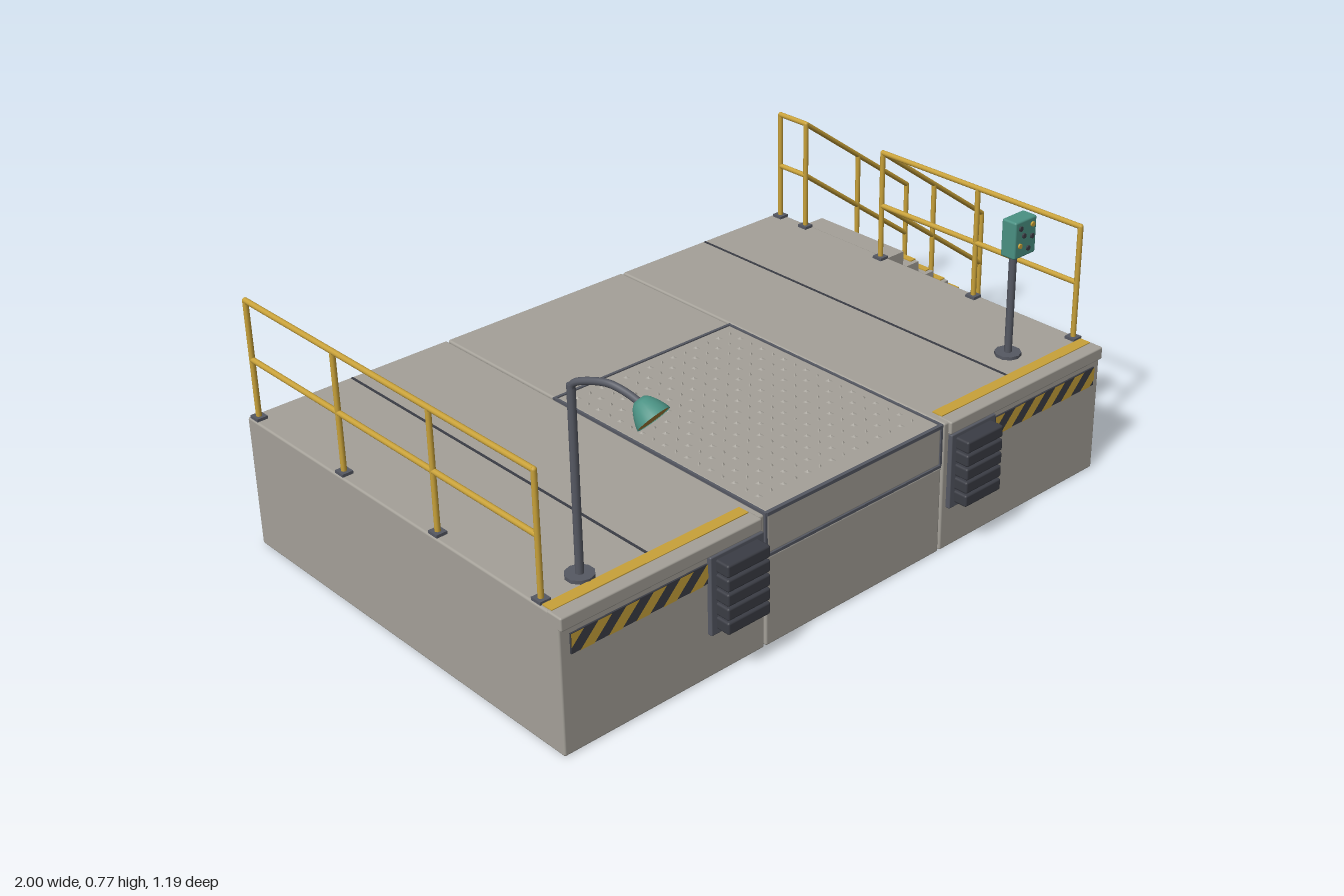
import * as THREE from 'three';
import { RoundedBoxGeometry } from 'three/addons/geometries/RoundedBoxGeometry.js';
import { mergeGeometries } from 'three/addons/utils/BufferGeometryUtils.js';

const mat = (name, color, side = THREE.FrontSide) => {
  const m = new THREE.MeshStandardMaterial({ color, side });
  m.name = name;
  return m;
};

export function createModel() {
  const concrete = mat('concrete', 0xa5a199);
  const yellow = mat('safetyYellow', 0xc9a23a);
  const steel = mat('darkSteel', 0x565963);
  const rubber = mat('rubber', 0x3b3d45);
  const teal = mat('tealPaint', 0x4a9183, THREE.DoubleSide);
  const amber = mat('lampGlass', 0xb58a3c);
  const model = new THREE.Group();
  model.name = 'loadingDock';

  const group = (name) => {
    const g = new THREE.Group();
    g.name = name;
    model.add(g);
    return g;
  };
  const add = (parent, name, geo, m) => {
    const mesh = new THREE.Mesh(geo, m);
    mesh.name = name;
    parent.add(mesh);
    return mesh;
  };
  // Box given by its limits on each axis, optionally with softened edges
  const box = (parent, name, [x0, x1], [y0, y1], [z0, z1], m, r = 0) => {
    const s = [x1 - x0, y1 - y0, z1 - z0];
    const geo = r ? new RoundedBoxGeometry(...s, 2, r) : new THREE.BoxGeometry(...s);
    const mesh = add(parent, name, geo, m);
    mesh.position.set((x0 + x1) / 2, (y0 + y1) / 2, (z0 + z1) / 2);
    return mesh;
  };
  // Round bar between two points
  const rod = (parent, name, a, b, r, m) => {
    const p = new THREE.Vector3(...a), q = new THREE.Vector3(...b);
    const d = q.clone().sub(p);
    const mesh = add(parent, name, new THREE.CylinderGeometry(r, r, d.length(), 10), m);
    mesh.position.copy(p).add(q).multiplyScalar(0.5);
    mesh.quaternion.setFromUnitVectors(new THREE.Vector3(0, 1, 0), d.normalize());
    return mesh;
  };

  // Platform blocks around a dark core that shows in the seams
  const H = 0.32, L = -1, R = 0.595, A = -0.47, B = 0.06, BACK = -0.59, FRONT = 0.475;
  const platform = group('platform');
  box(platform, 'seamCore', [L + 0.02, R - 0.02], [0.008, H - 0.008], [BACK + 0.02, FRONT - 0.02], steel);
  box(platform, 'rightBlock', [L, A - 0.002], [0, H], [BACK, FRONT], concrete, 0.005);
  box(platform, 'leftBlock', [B + 0.002, R], [0, H], [BACK, FRONT], concrete, 0.005);
  box(platform, 'backBlock', [A + 0.002, B - 0.002], [0, H], [BACK, -0.202], concrete, 0.005);
  box(platform, 'pitBlock', [A + 0.002, B - 0.002], [0, 0.216], [-0.198, FRONT], concrete, 0.005);
  for (const [x0, x1] of [[L, A - 0.016], [B + 0.016, R]]) {
    box(platform, 'edgeLip', [x0, x1], [0.29, H + 0.001], [0.44, 0.483], concrete, 0.004);
    box(platform, 'edgeStripe', [x0 + 0.006, x1 - 0.006], [H, H + 0.003], [0.422, 0.45], yellow);
  }
  for (const x of [-0.735, 0.33])
    box(platform, 'deckJoint', [x - 0.003, x + 0.003], [H - 0.001, H + 0.0015], [BACK + 0.005, 0.42], rubber);

  // Leveler plate with dark trim and raised tread pattern
  const leveler = group('leveler');
  box(leveler, 'levelerPlate', [A + 0.007, B - 0.007], [0.222, H], [-0.194, 0.474], concrete, 0.004);
  for (const x of [A + 0.004, B - 0.004])
    box(leveler, 'sideTrim', [x - 0.003, x + 0.003], [0.218, H + 0.001], [-0.2, FRONT], steel);
  box(leveler, 'backTrim', [A, B], [H - 0.01, H + 0.001], [-0.201, -0.194], steel);
  box(leveler, 'frontTrim', [A + 0.004, B - 0.004], [H - 0.007, H + 0.001], [0.468, 0.477], steel);
  box(leveler, 'lipSeam', [A + 0.004, B - 0.004], [0.215, 0.222], [0.46, 0.476], steel);
  const studs = [];
  for (let i = 0; i < 14; i++)
    for (let j = 0; j < 17; j++) {
      const stud = new THREE.ConeGeometry(0.009, 0.005, 4);
      stud.scale(1, 1, 0.45);
      stud.rotateY((i + j) % 2 ? Math.PI / 4 : -Math.PI / 4);
      stud.translate(A + 0.038 + i * 0.035, H + 0.0024, -0.16 + j * 0.036);
      studs.push(stud);
    }
  add(leveler, 'treadStuds', mergeGeometries(studs), concrete);

  // Hazard boards: yellow slanted bars clipped to a dark plate
  const hw = 0.345, hh = 0.046;
  const bars = [];
  for (let i = -1; i < 5; i++) {
    const a = i * 0.069 + 0.02, b = a + 0.0345;
    const pts = [];
    if (b <= 0) pts.push([0, -b]);
    else pts.push([Math.max(a, 0), 0], [Math.min(b, hw), 0]);
    if (b + hh > hw) pts.push([hw, Math.max(0, hw - b)]);
    pts.push([Math.min(b + hh, hw), hh], [Math.min(a + hh, hw), hh]);
    if (a < 0) pts.push([0, Math.min(hh, -a)]);
    bars.push(new THREE.Shape(pts.map((p) => new THREE.Vector2(...p))));
  }
  for (const x of [-0.975, 0.228]) {
    const board = group('hazardBoard');
    box(board, 'hazardPlate', [x, x + hw], [0.229, 0.275], [0.474, 0.479], rubber);
    add(board, 'hazardBars', new THREE.ShapeGeometry(bars), yellow).position.set(x, 0.229, 0.4805);
  }

  // Ribbed rubber bumpers
  for (const x of [-0.556, 0.149]) {
    const bumper = group('bumper');
    box(bumper, 'bumperPlate', [x - 0.072, x + 0.072], [0.105, 0.29], [0.47, 0.486], steel, 0.003);
    for (let i = 0; i < 5; i++) {
      const y = 0.132 + i * 0.0335;
      box(bumper, 'bumperRib', [x - 0.058, x + 0.058], [y - 0.0145, y + 0.0145], [0.48, 0.521], rubber, 0.005);
    }
  }

  // Solid staircase with yellow nosings
  const stairs = group('stairs');
  const N = 7, run = (1 - R) / N, rise = H / N, Z0 = -0.487, Z1 = -0.197;
  const profile = new THREE.Shape();
  profile.moveTo(R - 0.01, 0);
  profile.lineTo(R - 0.01, H - 0.001);
  for (let i = 0; i < N; i++) {
    const x = R + run * (i + 1), y = H - 0.001 - rise * i;
    profile.lineTo(x, y);
    profile.lineTo(x, Math.max(0, y - rise));
    if (i > 0)
      box(stairs, 'stepNosing', [x - 0.017, x + 0.001], [y - 0.003, y + 0.003], [Z0 + 0.012, Z1 - 0.012], yellow);
  }
  add(stairs, 'steps', new THREE.ExtrudeGeometry(profile, { depth: Z1 - Z0, bevelEnabled: false }), concrete)
    .position.z = Z0;

  // Railings: posts on small foot plates, joined by a top and a middle rail
  const TOP = 0.603, MID = 0.463, r = 0.0065;
  const post = (g, x, z, y0, y1) => {
    rod(g, 'post', [x, y0, z], [x, y1, z], r, yellow);
    box(g, 'footPlate', [x - 0.013, x + 0.013], [y0, y0 + 0.007], [z - 0.014, z + 0.014], steel);
  };
  const bar = (g, a, b) => {
    rod(g, 'rail', a, b, r, yellow);
    for (const p of [a, b]) add(g, 'railEnd', new THREE.SphereGeometry(r, 10, 6), yellow).position.set(...p);
  };
  const deckRail = (name, x, zs) => {
    const g = group(name);
    for (const z of zs) post(g, x, z, H, TOP);
    for (const y of [TOP, MID]) bar(g, [x, y, zs[0]], [x, y, zs[zs.length - 1]]);
  };
  deckRail('rightRailing', -0.985, [-0.567, -0.243, 0.082, 0.407]);
  deckRail('leftRailing', 0.58, [-0.208, 0.1, 0.407]);
  deckRail('shortRailing', 0.58, [-0.567, -0.475]);
  for (const z of [-0.475, -0.208]) {
    const g = group('stairRailing');
    post(g, 0.772, z, H - 3 * rise, 0.465);
    post(g, 0.962, z, rise, 0.328);
    bar(g, [0.58, TOP, z], [0.962, 0.328, z]);
    bar(g, [0.58, MID, z], [0.962, 0.186, z]);
  }

  // Round pole with a base flange
  const pole = (g, x, z, y) => {
    rod(g, 'poleBase', [x, H, z], [x, H + 0.008, z], 0.031, steel);
    rod(g, 'pole', [x, H, z], [x, y, z], 0.009, steel);
  };

  // Control box on a pole
  const control = group('controlStation');
  pole(control, 0.41, 0.355, 0.6);
  box(control, 'controlBox', [0.374, 0.446], [0.577, 0.667], [0.347, 0.388], teal, 0.005);
  const buttons = [[-0.02, 0.028], [0.02, 0.028], [-0.008, 0.008], [0.02, 0], [-0.02, -0.014], [0.008, -0.026]];
  buttons.forEach(([x, y], i) => {
    const px = 0.41 + x, py = 0.622 + y;
    rod(control, 'button', [px, py, 0.385], [px, py, 0.392], 0.006, i % 3 === 1 ? yellow : rubber);
  });

  // Work lamp on a gooseneck
  const lamp = group('dockLamp');
  pole(lamp, -0.88, 0.393, 0.735);
  const neck = new THREE.CatmullRomCurve3([
    [-0.88, 0.725, 0.393], [-0.879, 0.739, 0.4], [-0.868, 0.753, 0.437],
    [-0.857, 0.758, 0.475], [-0.847, 0.75, 0.51], [-0.841, 0.737, 0.55],
  ].map((p) => new THREE.Vector3(...p)));
  add(lamp, 'lampArm', new THREE.TubeGeometry(neck, 24, 0.0075, 10), steel);
  const head = new THREE.Group();
  head.name = 'lampHead';
  head.position.set(-0.837, 0.718, 0.57);
  head.quaternion.setFromUnitVectors(new THREE.Vector3(0, -1, 0), new THREE.Vector3(0.12, -0.66, 0.74).normalize());
  lamp.add(head);
  const shade = [[0, 0.042], [0.012, 0.041], [0.02, 0.034], [0.028, 0.02], [0.034, 0.006], [0.036, -0.003]];
  add(head, 'lampShade', new THREE.LatheGeometry(shade.reverse().map((p) => new THREE.Vector2(...p)), 24), teal);
  add(head, 'lampLens', new THREE.CylinderGeometry(0.033, 0.033, 0.004, 24), amber);

  return model;
}
